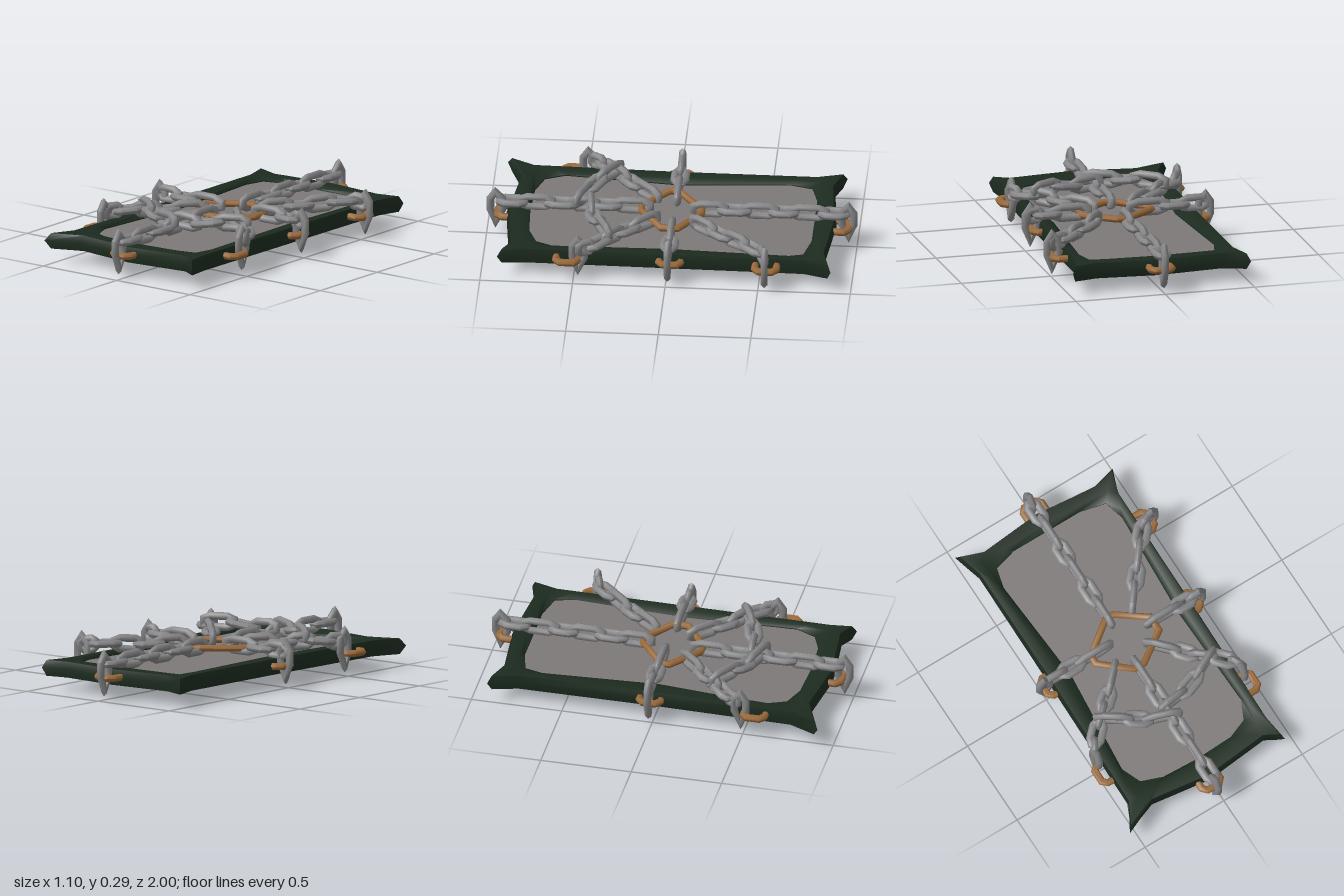
import * as THREE from 'three';
import { toCreasedNormals } from 'three/addons/utils/BufferGeometryUtils.js';

const mat = (name, color) => new THREE.MeshStandardMaterial({ name, color });
const V = (x, y, z) => new THREE.Vector3(x, y, z);

// Surface from rings of points; each ring is joined to the next in a closed or open run.
function loft(rings, closed, flip) {
  const n = rings[0].length, pos = [], idx = [];
  rings.forEach(r => r.forEach(p => pos.push(p.x, p.y, p.z)));
  const last = closed ? rings.length : rings.length - 1;
  for (let i = 0; i < last; i++) {
    for (let j = 0; j < n; j++) {
      const i2 = (i + 1) % rings.length, j2 = (j + 1) % n;
      const a = i * n + j, b = i2 * n + j, c = i2 * n + j2, d = i * n + j2;
      if (flip) idx.push(a, d, b, b, d, c);
      else idx.push(a, b, d, b, c, d);
    }
  }
  const g = new THREE.BufferGeometry();
  g.setAttribute('position', new THREE.Float32BufferAttribute(pos, 3));
  g.setIndex(idx);
  return toCreasedNormals(g, 1.1);
}

// Mitred bar following a flat polyline in the XY plane.
function bar(pts, r, closed, sides = 6, rz = r) {
  const n = pts.length, P = pts.map(p => new THREE.Vector2(p[0], p[1]));
  const rings = P.map((p, i) => {
    const prev = P[closed ? (i + n - 1) % n : Math.max(i - 1, 0)];
    const next = P[closed ? (i + 1) % n : Math.min(i + 1, n - 1)];
    let d1 = p.clone().sub(prev).normalize(), d2 = next.clone().sub(p).normalize();
    if (d1.length() === 0) d1 = d2;
    if (d2.length() === 0) d2 = d1;
    const t = d1.clone().add(d2).normalize();
    const k = r / Math.max(0.6, t.dot(d1));
    return Array.from({ length: sides }, (_, j) => {
      const a = j / sides * Math.PI * 2, c = Math.cos(a) * k;
      return V(p.x + t.y * c, p.y - t.x * c, Math.sin(a) * rz);
    });
  });
  return loft(rings, closed, false);
}

// Put a mesh at a point with its local X and Y axes along the given directions.
function place(mesh, pos, X, Y) {
  mesh.applyMatrix4(new THREE.Matrix4().makeBasis(X, Y, X.clone().cross(Y)).setPosition(pos));
  return mesh;
}

export function createModel() {
  const root = new THREE.Group();
  root.name = 'chainedShield';
  const green = mat('darkGreen', 0x1c2b1f), plateGrey = mat('plateGrey', 0x7d7979);
  const under = mat('undersideGrey', 0x6e6e6e), steel = mat('chainGrey', 0x868688);
  const bronze = mat('bronze', 0x98693a);
  const add = (parent, name, geo, m) => {
    const mesh = new THREE.Mesh(geo, m);
    mesh.name = name;
    parent.add(mesh);
    return mesh;
  };

  // Panel with its own underside colour
  const panel = add(root, 'panel', new THREE.BoxGeometry(0.81, 0.045, 1.56),
    [plateGrey, plateGrey, plateGrey, under, plateGrey, plateGrey]);
  panel.position.set(-0.005, 0.1175, 0);

  // Bevelled frame with flared corners: outer x, z then inner x, z
  const outline = [
    [-0.505, -0.912, -0.35, -0.735], [-0.38, -0.855, -0.22, -0.77], [0, -0.89, 0, -0.77],
    [0.36, -0.855, 0.2, -0.77], [0.485, -0.892, 0.345, -0.735], [0.437, -0.76, 0.375, -0.62],
    [0.434, 0, 0.34, 0], [0.424, 0.79, 0.36, 0.6], [0.445, 0.912, 0.31, 0.71],
    [0.37, 0.855, 0.2, 0.755], [-0.02, 0.895, -0.02, 0.765], [-0.37, 0.845, -0.23, 0.755],
    [-0.55, 0.925, -0.35, 0.71], [-0.472, 0.8, -0.395, 0.6], [-0.462, 0, -0.34, 0],
    [-0.457, -0.77, -0.38, -0.62]];
  const profile = [[0, 0.12], [0.12, 0.16], [0.7, 0.163], [1, 0.146],
    [1, 0.088], [0.7, 0.072], [0.12, 0.074]];
  add(root, 'frame', loft(outline.map(([x, z, u, w]) =>
    profile.map(([t, y]) => V(x + (u - x) * t, y, z + (w - z) * t))), true, true), green);

  // Two grips on the underside
  const grip = bar([[-0.075, 0.1], [-0.075, 0.06], [-0.035, 0.035], [0.08, 0.029],
    [0.155, 0.035], [0.185, 0.06], [0.185, 0.1]], 0.028, false, 8, 0.033);
  for (const x of [-0.16, 0.122]) {
    place(add(root, 'grip', grip, steel), V(x, 0, 0), V(0, 0, 1), V(0, 1, 0));
  }

  // Centre ring
  const ring = bar([[-0.02, -0.162], [0.03, -0.162], [0.19, -0.045], [0.19, 0.045],
    [0.02, 0.162], [-0.04, 0.162], [-0.2, 0.025], [-0.2, -0.025]], 0.019, true);
  place(add(root, 'centreRing', ring, bronze), V(0, 0.187, 0), V(1, 0, 0), V(0, 0, 1));

  // Brackets round the edge: x, z of the outer bar, outward x, z
  const bracket = bar([[-0.058, -0.1], [-0.058, -0.025], [-0.035, 0], [0.035, 0],
    [0.058, -0.025], [0.058, -0.1]], 0.02, false);
  for (const [x, z, ox, oz] of [[0, -0.955, 0, -1], [-0.028, 0.94, 0, 1], [-0.5, -0.02, -1, 0],
    [0.47, -0.02, 1, 0], [0.505, -0.54, 1, 0], [0.485, 0.535, 1, 0], [-0.52, 0.56, -1, 0]]) {
    place(add(root, 'bracket', bracket, bronze), V(x, 0.123, z), V(oz, 0, -ox), V(ox, 0, oz));
  }

  // Chain along x, y, z stations, with links alternately upright and flat
  const R = 0.021, OVERLAP = 0.033;
  const up = V(0, 1, 0);
  function chain(name, stations) {
    const group = new THREE.Group();
    group.name = name;
    root.add(group);
    for (let k = 0; k < stations.length - 1; k++) {
      const a = V(...stations[k]), b = V(...stations[k + 1]);
      const X = b.clone().sub(a), h = X.length() / 2 + OVERLAP - R, w = 0.03;
      X.normalize();
      const side = X.clone().cross(up).normalize();
      const Y = k % 2 === 0 ? side.clone().cross(X) : side;
      const link = bar([[h, -w * 0.45], [h, w * 0.45], [h * 0.55, w], [-h * 0.55, w],
        [-h, w * 0.45], [-h, -w * 0.45], [-h * 0.55, -w], [h * 0.55, -w]], R, true);
      place(add(group, 'link', link, steel), a.add(b).multiplyScalar(0.5), X, Y);
    }
  }
  // Tall pointed end link that drops through a bracket
  const hookGeo = bar([[0, -0.068], [0.028, 0.01], [0.028, 0.08], [0, 0.12],
    [-0.035, 0.085], [-0.035, 0.01]], R, true);
  const hook = (x, z, dx, dz) =>
    place(add(root, 'endLink', hookGeo, steel), V(x, 0.125, z), V(dx, 0, dz).normalize(), up);

  const y = 0.197;
  chain('backChain', [-0.13, -0.275, -0.4, -0.55, -0.655, -0.82, -0.93].map(z => [-0.01, y, z]));
  hook(-0.005, -0.953, 0, -1);
  chain('frontChain', [0.13, 0.3, 0.42, 0.53, 0.66, 0.81, 0.92].map(z => [-0.018, y, z]));
  hook(-0.023, 0.953, 0, 1);
  chain('rightChain', [-0.09, -0.27, -0.38, -0.5].map(x => [x, y + 0.005, -0.022]));
  hook(-0.5, -0.022, -1, 0);
  chain('leftChain', [0.165, 0.335, 0.43, 0.48].map(x => [x, y + 0.005, -0.014]));
  hook(0.475, -0.01, 1, 0);
  chain('backLeftChain', [[0.13, y, -0.13], [0.21, y, -0.235], [0.28, y, -0.32],
    [0.36, y + 0.01, -0.42], [0.44, y + 0.01, -0.51], [0.5, y, -0.535]]);
  hook(0.503, -0.535, 1, -0.1);
  chain('frontLeftChain', [[0.1, y, 0.08], [0.205, y, 0.19], [0.27, y, 0.265],
    [0.35, y + 0.01, 0.33], [0.43, y, 0.41], [0.455, y, 0.46]]);
  hook(0.445, 0.475, 0.05, 1);
  chain('frontRightChain', [[-0.12, y, 0.09], [-0.225, y, 0.2], [-0.3, y, 0.265],
    [-0.37, y + 0.01, 0.33], [-0.45, y, 0.41], [-0.48, y, 0.46]]);
  hook(-0.486, 0.485, -0.03, 1);

  // Loose chains crossing over the front
  chain('crossChainRight', [[-0.36, 0.23, 0.31], [-0.23, 0.235, 0.4], [-0.14, 0.22, 0.455],
    [0.01, 0.23, 0.51]]);
  chain('crossChainLeft', [[0.35, 0.235, 0.32], [0.22, 0.235, 0.385], [0.1, 0.215, 0.425],
    [-0.03, 0.225, 0.44]]);

  return root;
}
